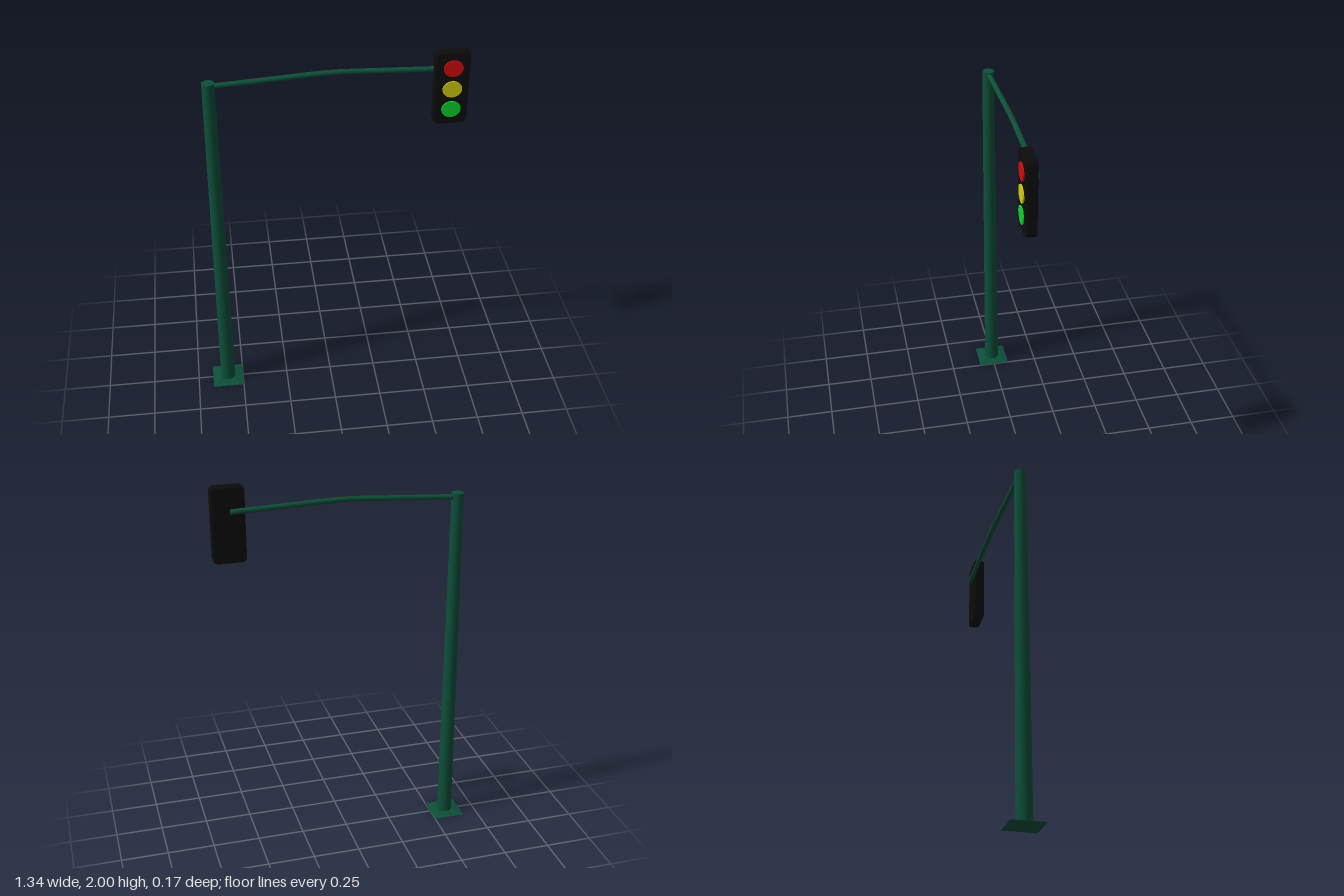
import * as THREE from 'three';

const mat = (name, color) => {
  const m = new THREE.MeshStandardMaterial({ color });
  m.name = name;
  return m;
};

export function createModel() {
  const root = new THREE.Group();
  root.name = 'trafficLight';
  const green = mat('dark green paint', 0x0d4f39);
  const black = mat('black housing', 0x0c0c0c);
  const brown = mat('brown wear', 0x3a3222);

  const add = (name, geometry, material, x = 0, y = 0, z = 0, parent = root) => {
    const mesh = new THREE.Mesh(geometry, material);
    mesh.name = name;
    mesh.position.set(x, y, z);
    parent.add(mesh);
    return mesh;
  };

  const poleX = -0.584;

  // Shallow square foot, sloping up to the pole
  const foot = new THREE.CylinderGeometry(0.065, 0.085 * Math.SQRT2, 0.01, 4).toNonIndexed();
  foot.rotateY(Math.PI / 4);
  foot.computeVertexNormals();
  add('basePlate', foot, green, poleX, 0.005, -0.001);

  // Tapered pole
  add('pole', new THREE.CylinderGeometry(0.031, 0.04, 1.875, 32), green, poleX, 0.9425, 0);

  // Gently bent arm
  const armPath = (points) => new THREE.CatmullRomCurve3(points.map((p) => new THREE.Vector3(...p)));
  const path = armPath([
    [poleX, 1.859, -0.004], [-0.3, 1.877, -0.004], [-0.06, 1.893, -0.004], [0.03, 1.896, -0.004],
    [0.12, 1.894, -0.004], [0.35, 1.887, -0.004], [0.575, 1.88, -0.004],
  ]);
  add('arm', new THREE.TubeGeometry(path, 48, 0.0135, 16), green);
  const end = add('armEnd', new THREE.CircleGeometry(0.0135, 16), green, 0.575, 1.88, -0.004);
  end.rotation.y = Math.PI / 2;

  // Faint worn streak along the top of the arm
  const streak = armPath([[-0.13, 1.8968, -0.004], [-0.06, 1.9015, -0.004], [0.03, 1.9045, -0.004], [0.11, 1.9025, -0.004]]);
  add('armWear', new THREE.TubeGeometry(streak, 16, 0.0055, 8), brown);

  // Signal head: rounded housing with three lamps
  const head = new THREE.Group();
  head.name = 'signalHead';
  head.position.set(0.584, 1.807, 0);
  root.add(head);

  const bevel = 0.005, w = 0.0835 - bevel, h = 0.193 - bevel, r = 0.02;
  const outline = new THREE.Shape();
  outline.absarc(w - r, h - r, r, 0, Math.PI / 2);
  outline.absarc(-w + r, h - r, r, Math.PI / 2, Math.PI);
  outline.absarc(-w + r, -h + r, r, Math.PI, Math.PI * 1.5);
  outline.absarc(w - r, -h + r, r, Math.PI * 1.5, Math.PI * 2);
  outline.closePath();
  const housing = new THREE.ExtrudeGeometry(outline, {
    depth: 0.055 - 2 * bevel, bevelEnabled: true, bevelSize: bevel,
    bevelThickness: bevel, bevelSegments: 1, curveSegments: 6,
  });
  add('housing', housing, black, 0, 0, 0.011 + bevel, head);

  [['red', 0xd40a0a, 0.109], ['yellow', 0xd4cc10, -0.002], ['green', 0x0cd42c, -0.111]].forEach(([name, color, y]) => {
    const lens = new THREE.CylinderGeometry(0.048, 0.048, 0.012, 32);
    lens.rotateX(Math.PI / 2);
    lens.scale(1, 0.89, 1);
    add(name + 'Lamp', lens, mat(name + ' lens', color), 0.002, y, 0.067, head);
  });

  return root;
}
